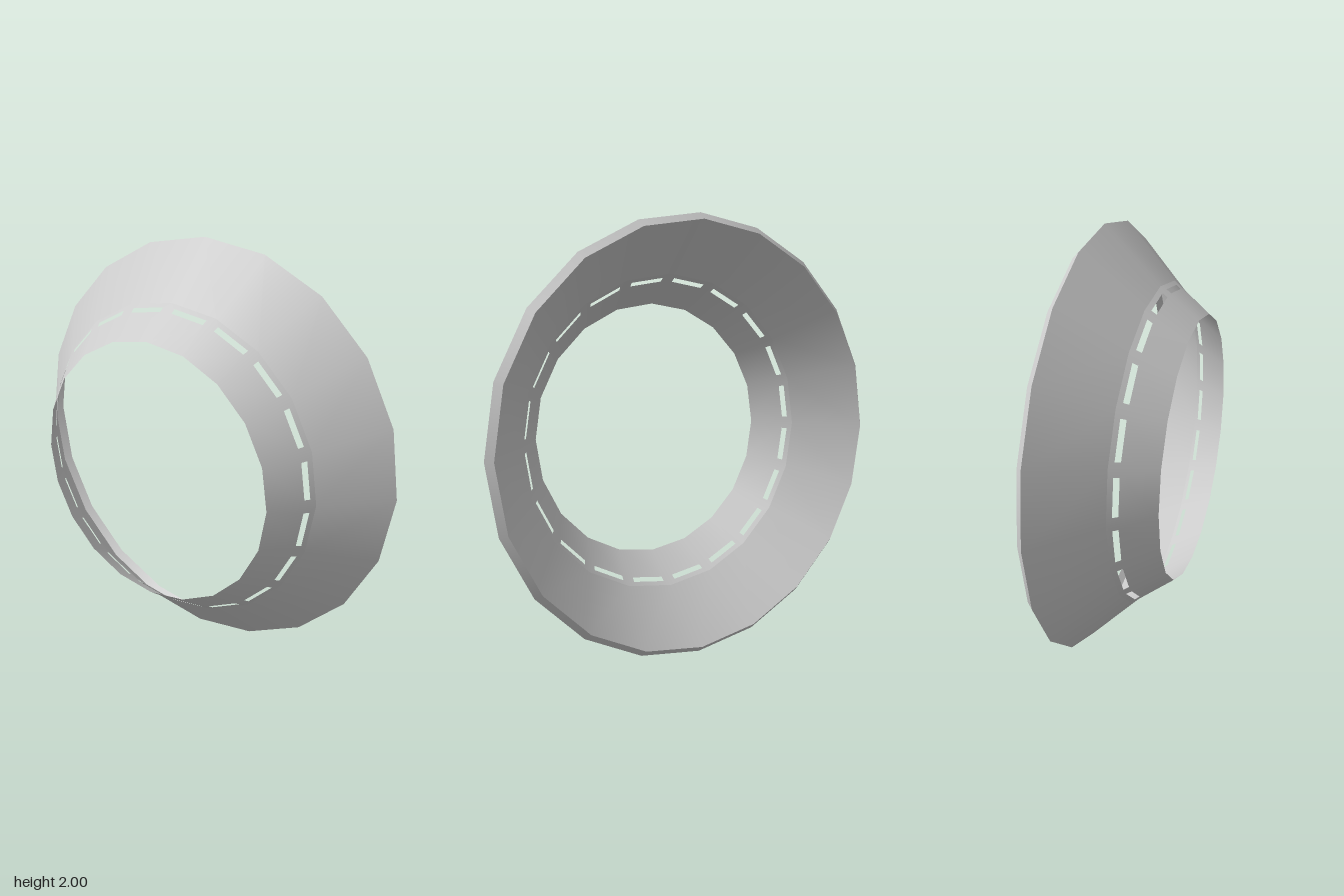
import * as THREE from 'three';
import { mergeGeometries } from 'three/addons/utils/BufferGeometryUtils.js';

const SIDES = 20;
const HALF = Math.PI / SIDES;
// profile stations along the x axis: [x, radius]
const BACK = [-0.225, 0.615];
const WAIST = [-0.05, 0.75];
const RIM = [0.195, 1.0];
const LIP = [0.225, 0.97];

const material = new THREE.MeshStandardMaterial({ color: 0xcccccc, side: THREE.DoubleSide });

// Conical band around the x axis
function band(name, a, b) {
  const geometry = new THREE.LatheGeometry([a, b].map(([x, r]) => new THREE.Vector2(r, x)), SIDES);
  geometry.rotateZ(-Math.PI / 2);
  const mesh = new THREE.Mesh(geometry, material);
  mesh.name = name;
  return mesh;
}

// One flat facet of the collar with a slot: u runs across the facet, x along the axis
function slottedFacet(index) {
  const shape = new THREE.Shape([
    [-1, BACK[0]], [1, BACK[0]], [1, WAIST[0]], [-1, WAIST[0]],
  ].map(([u, x]) => new THREE.Vector2(u, x)));
  shape.holes.push(new THREE.Path([
    [-0.73, -0.09], [-0.73, -0.069], [0.73, -0.069], [0.73, -0.09],
  ].map(([u, x]) => new THREE.Vector2(u, x))));

  const geometry = new THREE.ShapeGeometry(shape);
  const pos = geometry.attributes.position;
  const normal = geometry.attributes.normal;
  const slope = (WAIST[1] - BACK[1]) / (WAIST[0] - BACK[0]);
  const n = new THREE.Vector3();
  for (let i = 0; i < pos.count; i++) {
    const u = pos.getX(i);
    const x = pos.getY(i);
    const r = BACK[1] + (x - BACK[0]) * slope;
    pos.setXYZ(i, x, r * Math.cos(HALF), r * Math.sin(HALF) * u);
    // smooth normals around the cone
    n.set(-slope, Math.cos(u * HALF), Math.sin(u * HALF)).normalize();
    normal.setXYZ(i, n.x, n.y, n.z);
  }
  // the mapping mirrors the shape, so turn the triangles outward
  const idx = geometry.index.array;
  const a = new THREE.Vector3(), b = new THREE.Vector3(), c = new THREE.Vector3();
  for (let i = 0; i < idx.length; i += 3) {
    a.fromBufferAttribute(pos, idx[i]);
    b.fromBufferAttribute(pos, idx[i + 1]).sub(a);
    c.fromBufferAttribute(pos, idx[i + 2]).sub(a);
    if (b.cross(c).y < 0) [idx[i + 1], idx[i + 2]] = [idx[i + 2], idx[i + 1]];
  }
  geometry.rotateX((2 * index + 1) * HALF);
  return geometry;
}

export function createModel() {
  const group = new THREE.Group();
  group.name = 'flaredRing';

  // Narrow collar with a row of slots
  const facets = Array.from({ length: SIDES }, (_, i) => slottedFacet(i));
  const collar = new THREE.Mesh(mergeGeometries(facets), material);
  collar.name = 'slottedCollar';

  // Wide flare and its turned-in lip
  group.add(collar, band('flare', WAIST, RIM), band('lip', RIM, LIP));
  group.children.forEach((part) => { part.position.y = 1; });
  return group;
}
